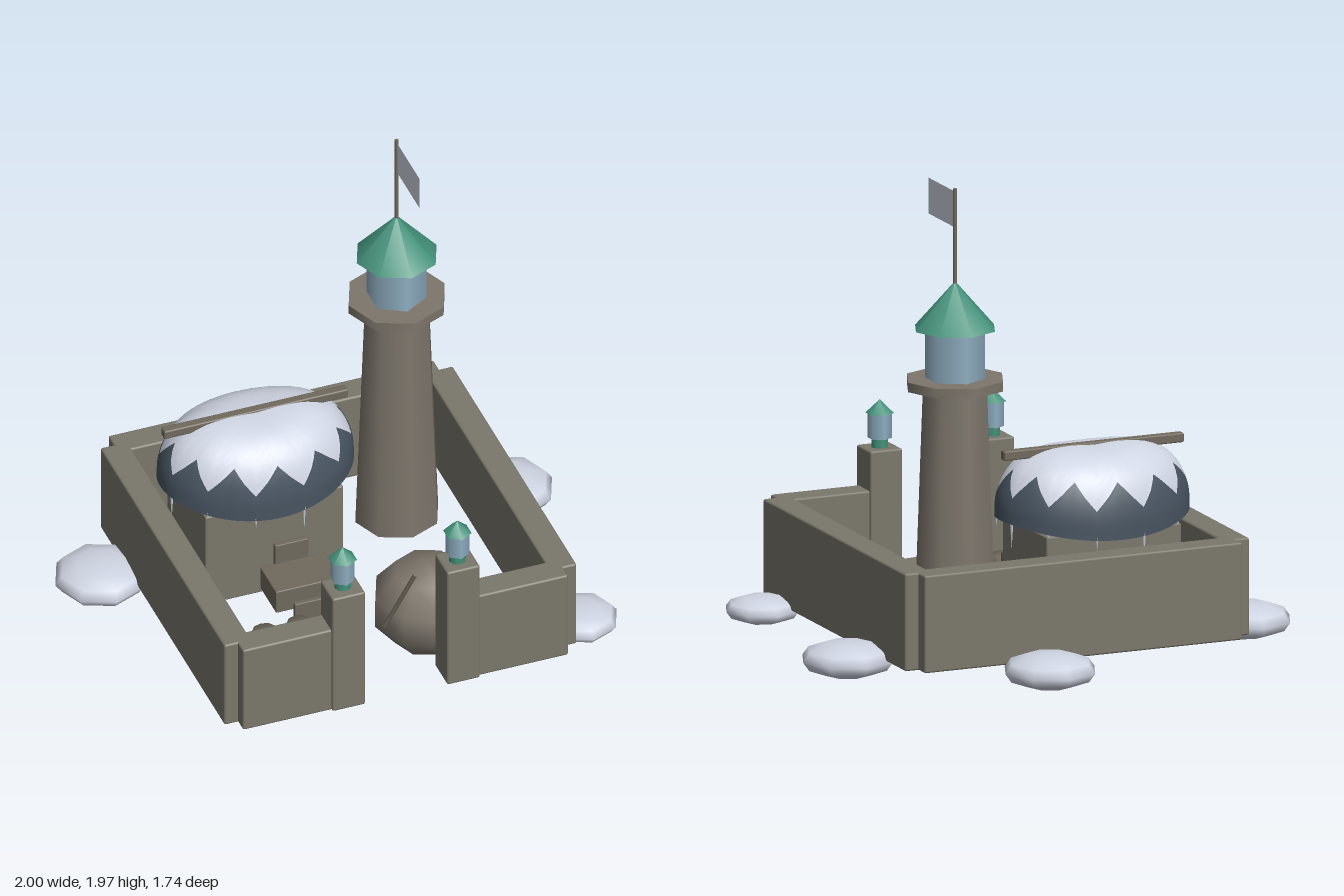
import * as THREE from 'three';
import { RoundedBoxGeometry } from 'three/addons/geometries/RoundedBoxGeometry.js';

const paint = (name, color, side = THREE.FrontSide) => {
  const m = new THREE.MeshStandardMaterial({ color, side });
  m.name = name;
  return m;
};

export function createModel() {
  const model = new THREE.Group();
  model.name = 'snowyOutpost';
  const stone = paint('stone', 0x7a776b);
  const towerStone = paint('towerStone', 0x7d766c);
  const snow = paint('snow', 0xcfd4e2, THREE.DoubleSide);
  const hull = paint('slateHull', 0x475360, THREE.DoubleSide);
  const copper = paint('greenCopper', 0x43917a, THREE.DoubleSide);
  const glass = paint('blueGlass', 0x8eadc0);
  const wood = paint('wood', 0x70695d);

  const add = (name, geo, mat, x = 0, y = 0, z = 0, parent = model) => {
    const m = new THREE.Mesh(geo, mat);
    m.name = name;
    m.position.set(x, y, z);
    parent.add(m);
    return m;
  };
  // box given by its low and high corners, with slightly softened edges
  const box = (name, mat, [x0, y0, z0], [x1, y1, z1], r = 0.008) =>
    add(name, new RoundedBoxGeometry(x1 - x0, y1 - y0, z1 - z0, 1, r), mat,
      (x0 + x1) / 2, (y0 + y1) / 2, (z0 + z1) / 2);
  // upright prism from y0 to y1
  const drum = (name, mat, rTop, rBottom, y0, y1, sides, x, z) =>
    add(name, new THREE.CylinderGeometry(rTop, rBottom, y1 - y0, sides), mat, x, (y0 + y1) / 2, z);

  // courtyard walls, open at the gate
  const base = 0.185, top = 0.565;
  box('leftWall', stone, [0.605, base, -0.52], [0.715, top, 0.8]);
  box('rightWall', stone, [-0.715, base, -0.52], [-0.605, top, 0.8]);
  box('backWall', stone, [-0.66, base, -0.58], [0.66, top, -0.47]);
  box('frontWallLeft', stone, [0.23, base, 0.745], [0.66, top, 0.855]);
  box('frontWallRight', stone, [-0.66, base, 0.745], [-0.23, top, 0.855]);

  // gate pillars with lanterns
  for (const x of [-0.235, 0.23]) {
    box('gatePillar', stone, [x - 0.067, base, 0.735], [x + 0.067, 0.72, 0.868]);
    drum('lanternFoot', copper, 0.034, 0.034, 0.715, 0.755, 8, x, 0.8);
    drum('lanternGlass', glass, 0.046, 0.046, 0.755, 0.855, 6, x, 0.8);
    drum('lanternRoof', copper, 0, 0.055, 0.852, 0.905, 6, x, 0.8);
  }

  // watch tower
  const tx = 0.367, tz = -0.205;
  drum('towerShaft', towerStone, 0.13, 0.168, base, 1.19, 8, tx, tz);
  drum('towerGallery', towerStone, 0.195, 0.195, 1.19, 1.227, 8, tx, tz);
  drum('towerLantern', glass, 0.115, 0.115, 1.227, 1.425, 6, tx, tz);
  drum('towerRoof', copper, 0, 0.162, 1.42, 1.605, 8, tx, tz);
  drum('flagPole', wood, 0.008, 0.008, 1.58, 1.965, 8, tx, tz);
  add('flag', new THREE.PlaneGeometry(0.245, 0.14), snow, tx, 1.883, tz + 0.1225).rotation.y = Math.PI / 2;

  // house with a rounded roof
  const hx = -0.235, hz = -0.13;
  box('houseBody', stone, [-0.515, base, -0.335], [0.045, 0.6, 0.075], 0.006);
  const profile = new THREE.CatmullRomCurve3([
    [1, 0.58], [0.99, 0.66], [0.93, 0.74], [0.8, 0.815], [0.55, 0.87], [0.28, 0.89], [0, 0.895],
  ].map(([r, y]) => new THREE.Vector3(r, y, 0)));
  const columns = 96, rows = 10, teeth = 12;
  const tooth = (a) => {
    const f = (a / (2 * Math.PI)) * teeth;
    return 0.23 + 0.44 * Math.abs((f - Math.floor(f)) - 0.5);
  };
  const roofPoint = (a, t) => {
    const p = profile.getPoint(t);
    const lift = 0.055 * Math.cos(a) ** 2 * (1 - t);
    return [0.386 * p.x * Math.cos(a), p.y + lift, 0.28 * p.x * Math.sin(a)];
  };
  // roof band between two heights that vary with the angle
  const roofBand = (from, to) => {
    const pos = [], index = [];
    for (let i = 0; i <= columns; i++) {
      const a = (i / columns) * Math.PI * 2;
      for (let j = 0; j <= rows; j++) pos.push(...roofPoint(a, from(a) + (to(a) - from(a)) * j / rows));
    }
    for (let i = 0; i < columns; i++) for (let j = 0; j < rows; j++) {
      const p = i * (rows + 1) + j, q = p + rows + 1;
      index.push(p, p + 1, q, q, p + 1, q + 1);
    }
    const g = new THREE.BufferGeometry();
    g.setAttribute('position', new THREE.Float32BufferAttribute(pos, 3));
    g.setIndex(index);
    g.computeVertexNormals();
    return g;
  };
  add('roofHull', roofBand(() => 0, tooth), hull, hx, 0, hz);
  add('roofSnow', roofBand(tooth, () => 1), snow, hx, 0, hz);
  box('ridgeBeam', wood, [-0.61, 0.865, -0.15], [0.137, 0.902, -0.113], 0.006);

  // icicles under the eaves
  for (let i = 0; i < 12; i++) {
    const a = ((i + 0.5) / 12) * Math.PI * 2, len = 0.05 + 0.03 * (i % 3);
    const [x, y, z] = roofPoint(a, 0);
    add('icicle', new THREE.ConeGeometry(0.007, len, 5), snow, hx + x * 0.98, y + 0.01 - len / 2, hz + z * 0.98)
      .rotation.x = Math.PI;
  }

  // bench with end boards, and barrels
  box('bench', wood, [-0.33, 0.285, 0.17], [-0.065, 0.385, 0.34], 0.004);
  box('benchBackBoard', wood, [-0.265, base, 0.14], [-0.13, 0.46, 0.162], 0.003);
  box('benchFrontBoard', wood, [-0.265, base, 0.35], [-0.13, 0.33, 0.372], 0.003);
  const barrel = new THREE.LatheGeometry(
    [[0, 0], [0.052, 0], [0.065, 0.045], [0.065, 0.105], [0.052, 0.15], [0, 0.15]]
      .map(([r, y]) => new THREE.Vector2(r, y)), 10);
  for (const x of [-0.43, -0.29, -0.15]) add('barrel', barrel, wood, x, base, 0.49);

  // boulder with a snowy underside
  const boulder = new THREE.Group();
  boulder.name = 'boulder';
  boulder.position.set(0.27, 0.195, 0.37);
  boulder.scale.set(0.22, 0.195, 0.22);
  model.add(boulder);
  const split = Math.PI * 0.8;
  add('boulderRock', new THREE.SphereGeometry(1, 8, 4, 0, Math.PI * 2, 0, split), towerStone, 0, 0, 0, boulder);
  add('boulderSnow', new THREE.SphereGeometry(1, 8, 1, 0, Math.PI * 2, split, Math.PI - split), snow, 0, 0, 0, boulder);

  // leaning pole beside the boulder
  const foot = new THREE.Vector3(0.07, 0.19, 0.445), tip = new THREE.Vector3(0.16, 0.475, 0.535);
  add('leaningPole', new THREE.TubeGeometry(new THREE.LineCurve3(foot, tip), 1, 0.009, 6), wood);

  // snow drifts outside the walls
  for (const [x, z, r, h] of [
    [-0.817, -0.25, 0.183, 0.068], [0.19, -0.69, 0.184, 0.068],
    [0.815, -0.21, 0.184, 0.068], [0.787, 0.645, 0.148, 0.053],
  ]) add('snowDrift', new THREE.SphereGeometry(1, 8, 6), snow, x, 0.178, z).scale.set(r, h, r);

  return model;
}
